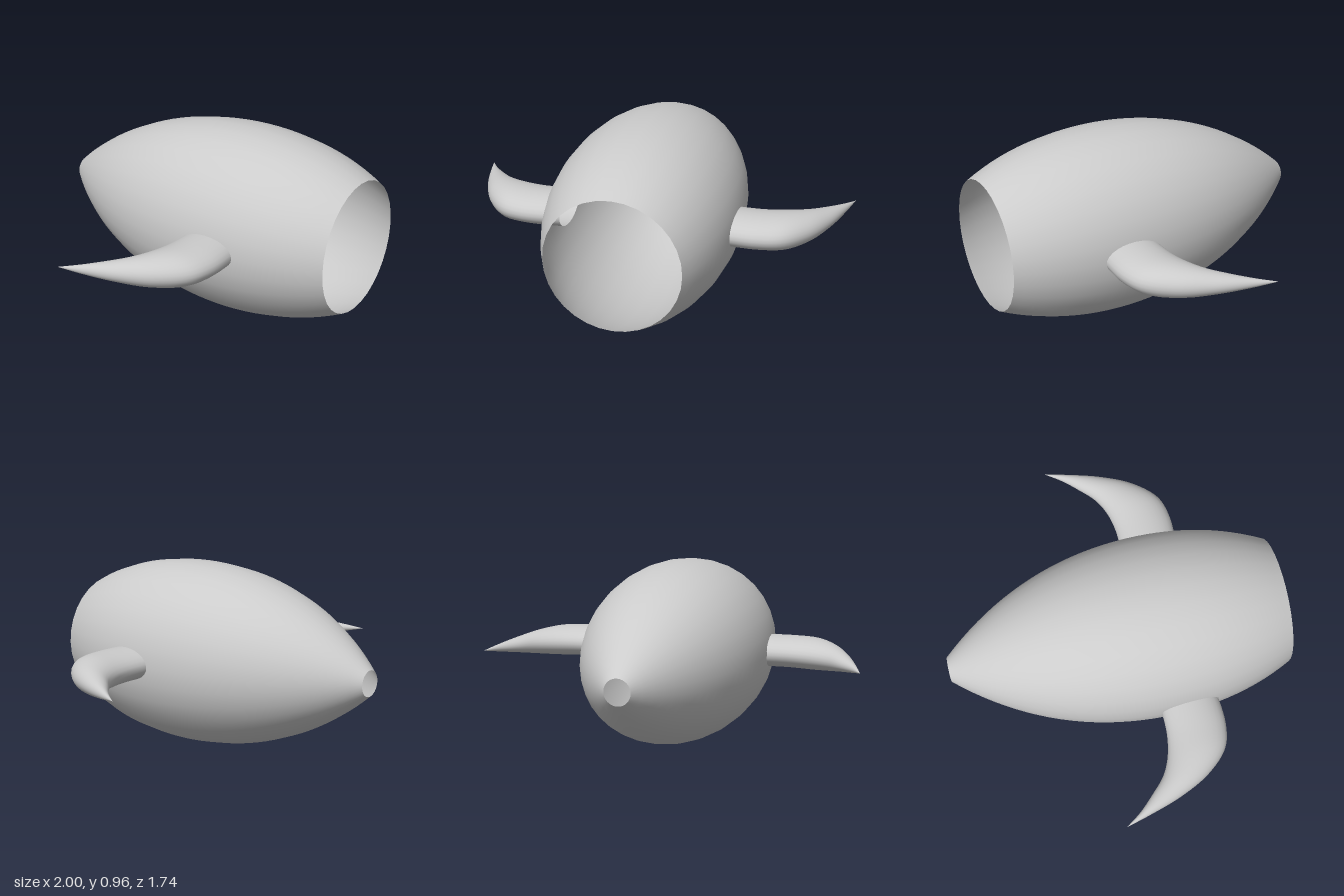
import * as THREE from 'three';

const CENTER_Y = 0.48;
const material = new THREE.MeshStandardMaterial({ color: 0xcccccc, side: THREE.DoubleSide });

// Open shell of revolution along z: wide mouth in front, small hole at the back
function makeBody() {
  const v = (r, z) => new THREE.Vector2(r, z);
  const rear = new THREE.QuadraticBezierCurve(v(0.065, -0.87), v(0.478, -0.4), v(0.478, 0.22));
  const front = new THREE.QuadraticBezierCurve(v(0.478, 0.22), v(0.478, 0.58), v(0.333, 0.87));
  const profile = [...rear.getPoints(20), ...front.getPoints(12).slice(1)];
  const geometry = new THREE.LatheGeometry(profile, 32);
  geometry.rotateX(Math.PI / 2);
  const mesh = new THREE.Mesh(geometry, material);
  mesh.name = 'body';
  mesh.position.y = CENTER_Y;
  return mesh;
}

// Fin stations: leading edge x, z, trailing edge x, z, half thickness
const STATIONS = [
  [0.40, 0.445, 0.40, 0.145, 0.083],
  [0.60, 0.45, 0.58, 0.145, 0.083],
  [0.72, 0.415, 0.70, 0.12, 0.082],
  [0.83, 0.30, 0.79, 0.075, 0.068],
  [0.91, 0.14, 0.87, 0.0, 0.045],
  [0.965, -0.03, 0.94, -0.075, 0.022],
  [1.0, -0.16, 1.0, -0.16, 0],
];

// Swept-back fin: elliptical sections between the two edges, open at the root
function makeFin(side) {
  const curve = (f) => new THREE.CatmullRomCurve3(STATIONS.map(f));
  const lead = curve(([x, z, , , h]) => new THREE.Vector3(x, h, z));
  const trail = curve(([, , x, z, h]) => new THREE.Vector3(x, h, z));
  const rows = 36, around = 28;
  const positions = [], index = [];
  for (let j = 0; j <= rows; j++) {
    const a = lead.getPoint(j / rows), b = trail.getPoint(j / rows);
    for (let i = 0; i < around; i++) {
      const t = (i / around) * Math.PI * 2;
      const p = b.clone().lerp(a, 0.5 + 0.5 * Math.cos(t));
      positions.push(side * p.x, Math.sin(t) * a.y, p.z);
      if (j === rows) continue;
      const n = (i + 1) % around;
      const q = [j * around + i, (j + 1) * around + i, (j + 1) * around + n, j * around + n];
      if (side < 0) q.reverse();
      index.push(q[0], q[1], q[2], q[0], q[2], q[3]);
    }
  }
  const geometry = new THREE.BufferGeometry();
  geometry.setAttribute('position', new THREE.Float32BufferAttribute(positions, 3));
  geometry.setIndex(index);
  geometry.computeVertexNormals();
  const mesh = new THREE.Mesh(geometry, material);
  mesh.name = side > 0 ? 'leftFin' : 'rightFin';
  mesh.position.y = CENTER_Y;
  return mesh;
}

export function createModel() {
  const group = new THREE.Group();
  group.name = 'finnedShell';
  group.add(makeBody(), makeFin(1), makeFin(-1));
  return group;
}
